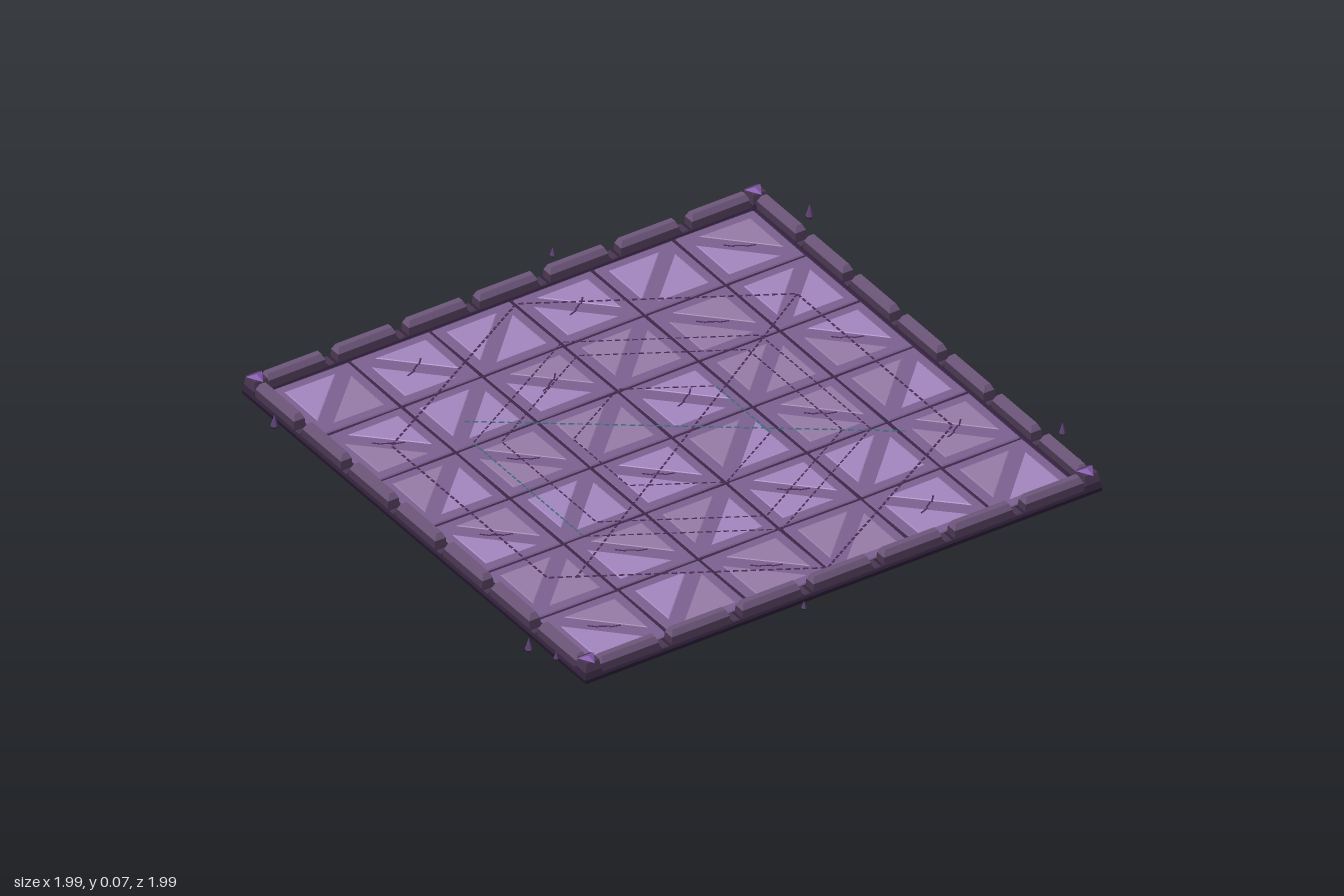
import * as THREE from 'three';
import { mergeGeometries } from 'three/addons/utils/BufferGeometryUtils.js';

const mat = (color) => new THREE.MeshStandardMaterial({ color, flatShading: true });
const M = {
  base: mat(0x22162b), ledge: mat(0x33233d), rim: mat(0x483650), rimTop: mat(0x6d567a),
  grout: mat(0x3c2748), frame: mat(0x7c6190), panelA: mat(0xa386bf), panelB: mat(0x957ba6),
  line: mat(0x4a2a55), teal: mat(0x3a6a78), gem: mat(0x8458ac), spike: mat(0x5b3f73),
};

export function createModel() {
  const root = new THREE.Group();
  let seed = 7;
  const rand = () => (seed = (seed * 16807) % 2147483647) / 2147483647;

  const add = (parent, name, geo, material, x = 0, y = 0, z = 0) => {
    const m = new THREE.Mesh(geo, material);
    m.name = name;
    m.position.set(x, y, z);
    parent.add(m);
    return m;
  };
  // Box standing on y = 0 whose top is drawn in by `inset`
  const taperBox = (w, h, d, inset = 0) => {
    const g = new THREE.BoxGeometry(w, h, d).translate(0, h / 2, 0);
    const p = g.attributes.position;
    for (let i = 0; i < p.count; i++) {
      if (p.getY(i) > h / 2) {
        p.setX(i, p.getX(i) - Math.sign(p.getX(i)) * inset);
        p.setZ(i, p.getZ(i) - Math.sign(p.getZ(i)) * inset);
      }
    }
    g.computeVertexNormals();
    return g;
  };

  // Slab and grout bed
  add(root, 'baseSlab', taperBox(1.854, 0.012, 1.854), M.base);
  add(root, 'groutBed', taperBox(1.76, 0.003, 1.76), M.grout, 0, 0.0115, 0);

  // Floor tiles: framed square, split by a diagonal rib into two triangular panels
  const pitch = 0.291, a = 0.108, gap = 0.034;
  const tri = new THREE.Shape([[-a, -a + gap], [a - gap, a], [-a, a]].map(([x, y]) => new THREE.Vector2(x, y)));
  const panel = new THREE.ExtrudeGeometry(tri, {
    depth: 0.001, bevelEnabled: true, bevelThickness: 0.002, bevelSize: 0.005, bevelOffset: -0.005, bevelSegments: 1,
  }).rotateX(-Math.PI / 2);
  const tileBody = taperBox(0.282, 0.007, 0.282, 0.004);
  const crackGeo = taperBox(0.034, 0.001, 0.005);
  for (let r = 0; r < 6; r++) {
    for (let c = 0; c < 6; c++) {
      const tile = new THREE.Group();
      tile.name = 'floorTile';
      tile.position.set((c - 2.5) * pitch, 0.012, (r - 2.5) * pitch);
      tile.rotation.y = (rand() - 0.5) * 0.025;
      add(tile, 'tileFrame', tileBody, M.frame);
      const turn = (r + c) % 2 ? Math.PI / 2 : 0;
      for (let k = 0; k < 2; k++) {
        const p = add(tile, 'trianglePanel', panel, rand() > 0.5 ? M.panelA : M.panelB, 0, 0.0065, 0);
        p.rotation.y = turn + k * Math.PI;
      }
      // Short jagged crack
      if ((r + c) % 2) {
        const dir = rand() > 0.35 ? -0.55 : 0.6;
        for (let k = -1; k <= 1; k++) {
          const s = add(tile, 'crack', crackGeo, M.line, k * 0.028, 0.0095, -Math.tan(dir) * k * 0.028);
          s.rotation.y = dir + k * 0.25;
        }
      }
      root.add(tile);
    }
  }

  // Dashed inlay lines
  const dashedLine = (name, x0, z0, x1, z1, material, w = 0.006) => {
    const len = Math.hypot(x1 - x0, z1 - z0), n = Math.max(1, Math.round(len / 0.026));
    const dashes = [];
    for (let i = 0; i < n; i++) {
      dashes.push(taperBox(0.017, 0.001, w).translate((i + 0.5) * len / n, 0, 0));
    }
    const m = add(root, name, mergeGeometries(dashes), material, x0, 0.0222, z0);
    m.rotation.y = -Math.atan2(z1 - z0, x1 - x0);
  };
  for (const R of [0.84, 0.595, 0.51, 0.295]) {
    for (let k = 0; k < 6; k++) {
      const t0 = Math.PI / 6 + k * Math.PI / 3, t1 = t0 + Math.PI / 3;
      const teal = (R === 0.595 && k === 2) || (R === 0.295 && k === 5);
      dashedLine('hexagonInlay', R * Math.cos(t0), R * Math.sin(t0), R * Math.cos(t1), R * Math.sin(t1),
        teal ? M.teal : M.line, R > 0.8 ? 0.007 : 0.005);
    }
  }
  dashedLine('crossInlay', -0.48, -0.41, 0.6, 0.37, M.teal);
  dashedLine('crossInlay', 0.73, -0.42, -0.66, 0.47, M.line);

  // Raised rim, one side repeated around the square
  const side = (angle) => {
    const g = new THREE.Group();
    g.name = 'rimSide';
    g.rotation.y = angle;
    add(g, 'rimLedge', taperBox(1.85, 0.009, 0.054, 0.002), M.ledge, 0, 0.012, 0.9);
    for (let i = -3; i <= 3; i++) {
      add(g, 'rimBlock', taperBox(0.212, 0.026, 0.042, 0.002), M.rim, i * 0.254, 0.02, 0.9);
      add(g, 'rimCap', taperBox(0.208, 0.02, 0.038, 0.009), M.rimTop, i * 0.254, 0.046, 0.9);
    }
    for (let i = -2.5; i <= 2.5; i++) {
      add(g, 'rimJoint', taperBox(0.022, 0.005, 0.046, 0.003), M.rim, i * 0.254, 0.02, 0.9);
    }
    root.add(g);
  };
  for (let k = 0; k < 4; k++) side(k * Math.PI / 2);

  // Corner posts with three-sided gems
  for (const x of [-0.895, 0.895]) {
    for (const z of [-0.895, 0.895]) {
      add(root, 'cornerFoot', taperBox(0.064, 0.02, 0.064, 0.004), M.ledge, x, 0.015, z);
      add(root, 'cornerPost', taperBox(0.056, 0.032, 0.056, 0.005), M.rim, x, 0.034, z);
      add(root, 'cornerGem', new THREE.ConeGeometry(0.034, 0.008, 3), M.gem, x, 0.07, z + 0.0);
    }
  }

  // Loose shards hovering around the rim: [x, z, height, radius]
  const shards = [
    [0.23, -0.99, 0.034, 0.009], [-0.965, -0.695, 0.048, 0.012], [0.983, -0.735, 0.05, 0.013],
    [-0.988, 0.712, 0.048, 0.012], [0.976, 0.64, 0.044, 0.011], [-0.945, 0.795, 0.03, 0.008],
    [-0.18, 0.982, 0.03, 0.008], [0.932, 0.8, 0.026, 0.006],
  ];
  for (const [x, z, h, r] of shards) {
    add(root, 'shard', new THREE.ConeGeometry(r, h * 0.85, 6), M.spike, x, 0.022 + h * 0.575, z);
    add(root, 'shardFoot', new THREE.CylinderGeometry(r, r * 0.7, h * 0.15, 6), M.ledge, x, 0.022 + h * 0.075, z);
  }
  return root;
}
